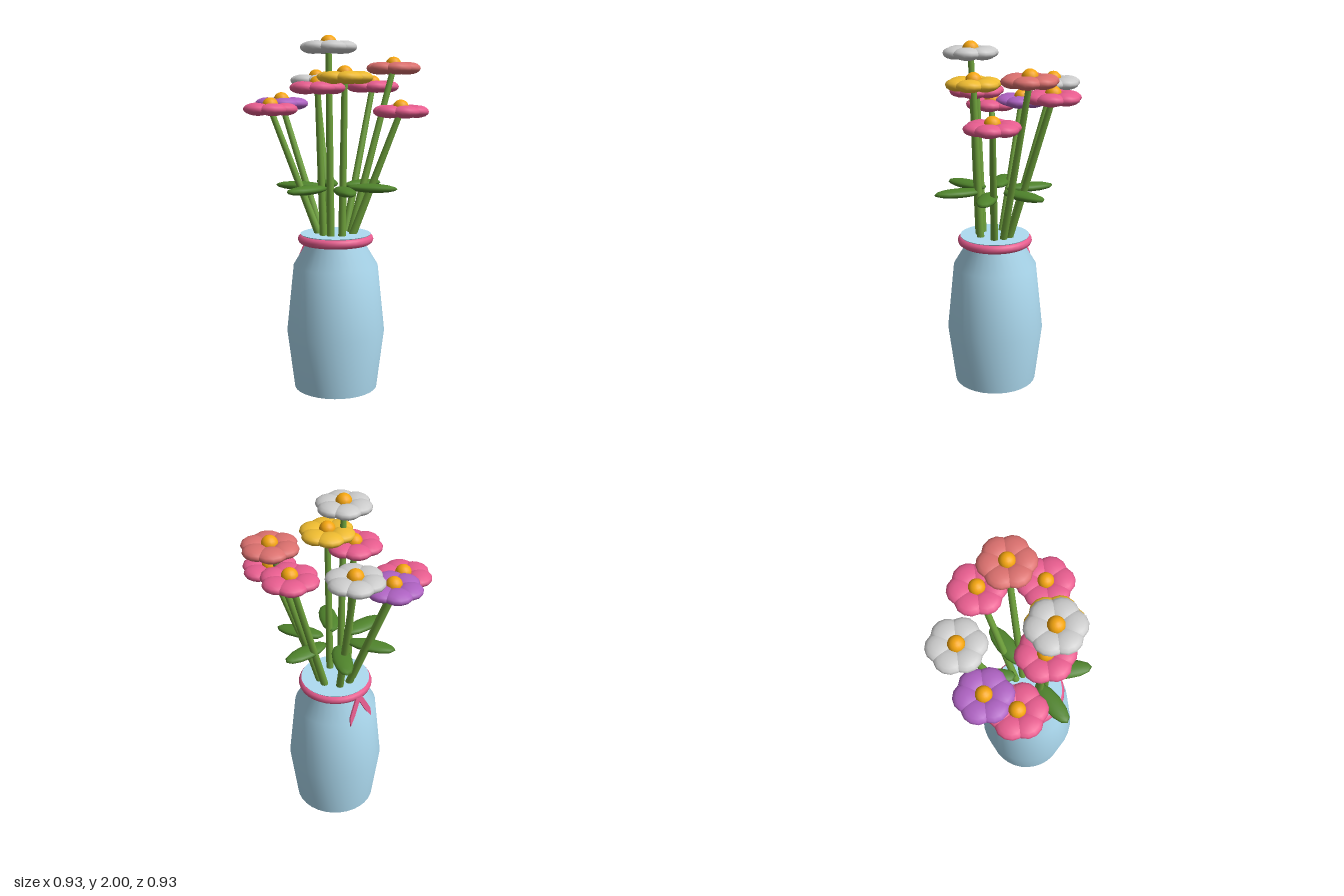
import * as THREE from 'three';

const mat = (color, side = THREE.FrontSide) => new THREE.MeshStandardMaterial({ color, side });
const PINK = mat(0xe85d8f), WHITE = mat(0xcccccc), PURPLE = mat(0xae62c2);
const YELLOW = mat(0xeebb30), SALMON = mat(0xdb706e), CORE = mat(0xf5a60f);
const STEM = mat(0x6fa23c), LEAF = mat(0x4f832b), GLAZE = mat(0xaedcf2);

// Axis of the vase, and height of its closed top
const CX = -0.055, CZ = 0.035, TOP = 0.9;

function add(parent, name, geometry, material, x = 0, y = 0, z = 0) {
  const mesh = new THREE.Mesh(geometry, material);
  mesh.name = name;
  mesh.position.set(x, y, z);
  parent.add(mesh);
  return mesh;
}

function createVase() {
  const vase = new THREE.Group();
  vase.name = 'vase';
  const profile = [[0.238, 0], [0.28, 0.335], [0.24, 0.72], [0.165, 0.845], [0.2, TOP]];
  add(vase, 'vaseBody', new THREE.LatheGeometry(profile.map(([r, y]) => new THREE.Vector2(r, y)), 32), GLAZE);
  add(vase, 'vaseTop', new THREE.CircleGeometry(0.2, 32), GLAZE, 0, TOP).rotation.x = -Math.PI / 2;
  add(vase, 'vaseBase', new THREE.CircleGeometry(0.238, 32), GLAZE).rotation.x = Math.PI / 2;

  // Ribbon around the neck, with two pointed tails at the back
  add(vase, 'ribbonRing', new THREE.TorusGeometry(0.188, 0.027, 10, 32), PINK, 0, 0.87).rotation.x = Math.PI / 2;
  for (const side of [-1, 1]) {
    const shape = new THREE.Shape([
      new THREE.Vector2(-0.018, 0), new THREE.Vector2(0.018, 0),
      new THREE.Vector2(side * 0.06 + 0.018, -0.12), new THREE.Vector2(side * 0.08, -0.175),
      new THREE.Vector2(side * 0.06 - 0.018, -0.12),
    ]);
    const tail = add(vase, 'ribbonTail', new THREE.ExtrudeGeometry(shape, { depth: 0.01, bevelEnabled: false }),
      PINK, 0, 0.875, -0.212);
    tail.rotation.x = 0.12;
  }
  return vase;
}

// Six overlapping flattened petals around a round centre
function createFlower(material) {
  const flower = new THREE.Group();
  flower.name = 'flower';
  const petal = new THREE.SphereGeometry(1, 12, 8);
  for (let i = 0; i < 6; i++) {
    const a = i * Math.PI / 3;
    const mesh = add(flower, 'petal', petal, material, 0.088 * Math.cos(a), 0, -0.088 * Math.sin(a));
    mesh.scale.set(0.07, 0.035, 0.079);
    mesh.rotation.y = a;
  }
  add(flower, 'flowerCentre', new THREE.SphereGeometry(0.045, 16, 10), CORE, 0, 0.02, 0);
  return flower;
}

// Tapered straight stem between two points
function createStem(from, to) {
  const dir = to.clone().sub(from);
  const stem = new THREE.Mesh(new THREE.CylinderGeometry(0.017, 0.022, dir.length(), 10), STEM);
  stem.name = 'stem';
  stem.position.copy(from).addScaledVector(dir, 0.5);
  stem.quaternion.setFromUnitVectors(new THREE.Vector3(0, 1, 0), dir.normalize());
  return stem;
}

export function createModel() {
  const model = new THREE.Group();
  model.name = 'flowerVase';

  const vase = createVase();
  vase.position.set(CX, 0, CZ);
  model.add(vase);

  // Flower heads: x, y, z, petal material
  const flowers = [
    [-0.306, 1.6, -0.229, PINK], [-0.15, 1.625, -0.319, PURPLE], [0.1, 1.755, -0.297, WHITE],
    [0.304, 1.72, -0.029, PINK], [0.289, 1.825, 0.15, SALMON], [0.175, 1.59, 0.314, PINK],
    [-0.168, 1.935, 0.1, WHITE], [-0.1, 1.775, 0.155, YELLOW], [-0.187, 1.72, 0.033, PINK],
  ];
  for (const [x, y, z, material] of flowers) {
    const flower = createFlower(material);
    flower.position.set(x, y, z);
    model.add(flower);
    // Stems stand in a ring on the vase top, each leaning out to its flower
    const a = Math.atan2(z - CZ, x - CX);
    const foot = new THREE.Vector3(CX + 0.092 * Math.cos(a), TOP - 0.02, CZ + 0.092 * Math.sin(a));
    model.add(createStem(foot, flower.position));
  }

  // Ring of six flat leaves
  const leaf = new THREE.SphereGeometry(1, 12, 8);
  for (let i = 0; i < 6; i++) {
    const a = i * Math.PI / 3;
    const mesh = add(model, 'leaf', leaf, LEAF, CX + 0.213 * Math.cos(a), 1.165, CZ - 0.213 * Math.sin(a));
    mesh.scale.set(0.143, 0.025, 0.055);
    mesh.rotation.y = a;
  }
  return model;
}
